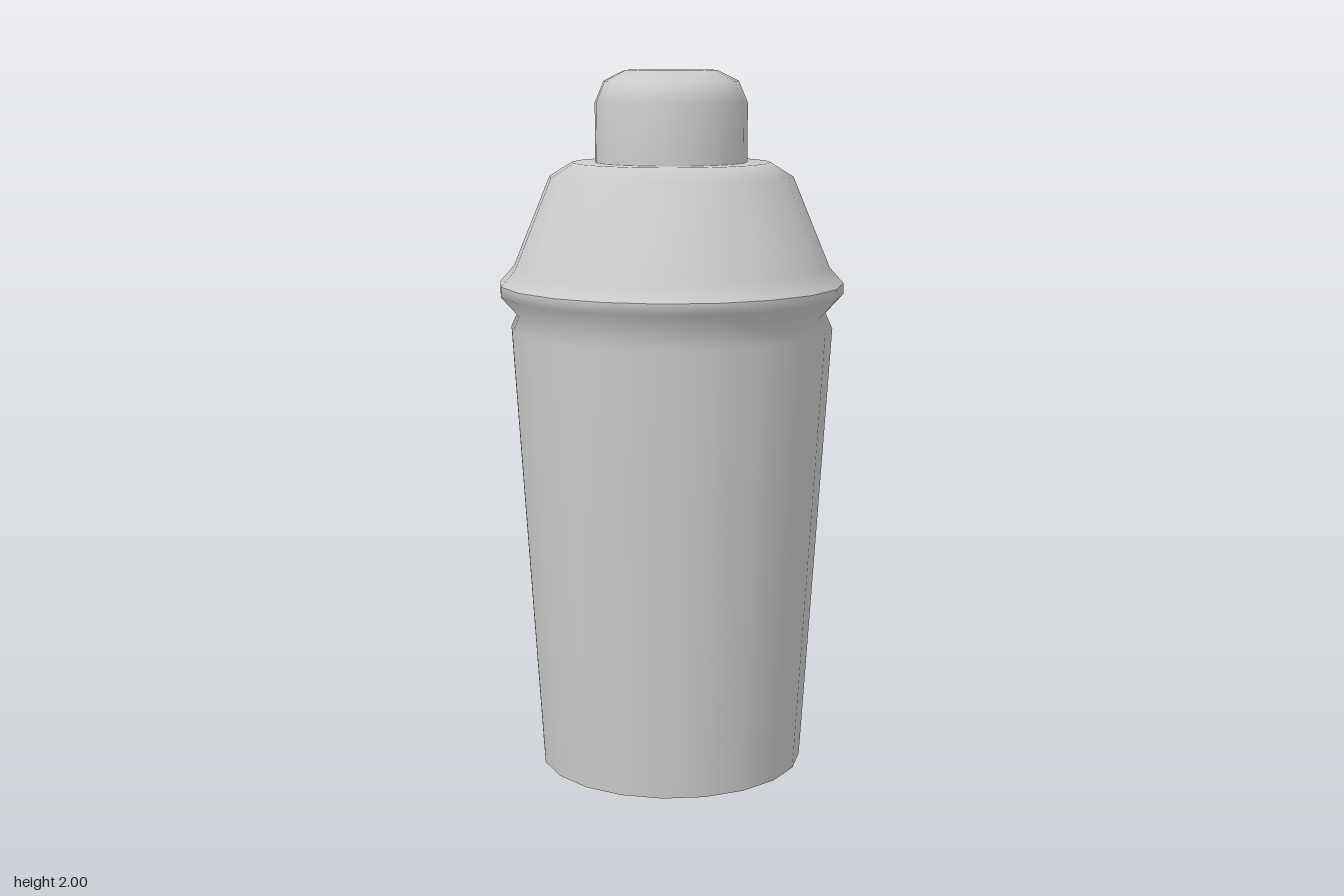
import * as THREE from 'three';

const SIDES = 20;

// One smooth turned surface from [radius, height] pairs, bottom to top
function turned(name, profile, material) {
  const points = profile.map(([r, y]) => new THREE.Vector2(r, y));
  const mesh = new THREE.Mesh(new THREE.LatheGeometry(points, SIDES), material);
  mesh.name = name;
  return mesh;
}

export function createModel() {
  const group = new THREE.Group();
  group.name = 'cocktailShaker';
  const metal = new THREE.MeshStandardMaterial({ color: 0xcccccc, side: THREE.DoubleSide });

  // Flat base, kept separate for a sharp bottom edge
  group.add(turned('base', [[0, 0], [0.38, 0]], metal));

  // Tapered cup, pinched below the flared rim
  group.add(turned('cup', [[0.38, 0], [0.46, 1.275], [0.44, 1.32], [0.49, 1.375], [0.49, 1.405]], metal));

  // Sloped shoulder lid with a bevelled top
  group.add(turned('lid', [[0.49, 1.405], [0.45, 1.45], [0.345, 1.705], [0.28, 1.745], [0.2, 1.745]], metal));

  // Small rounded cap
  group.add(turned('cap', [[0.215, 1.745], [0.215, 1.91], [0.19, 1.97], [0.13, 2], [0, 2]], metal));

  return group;
}
